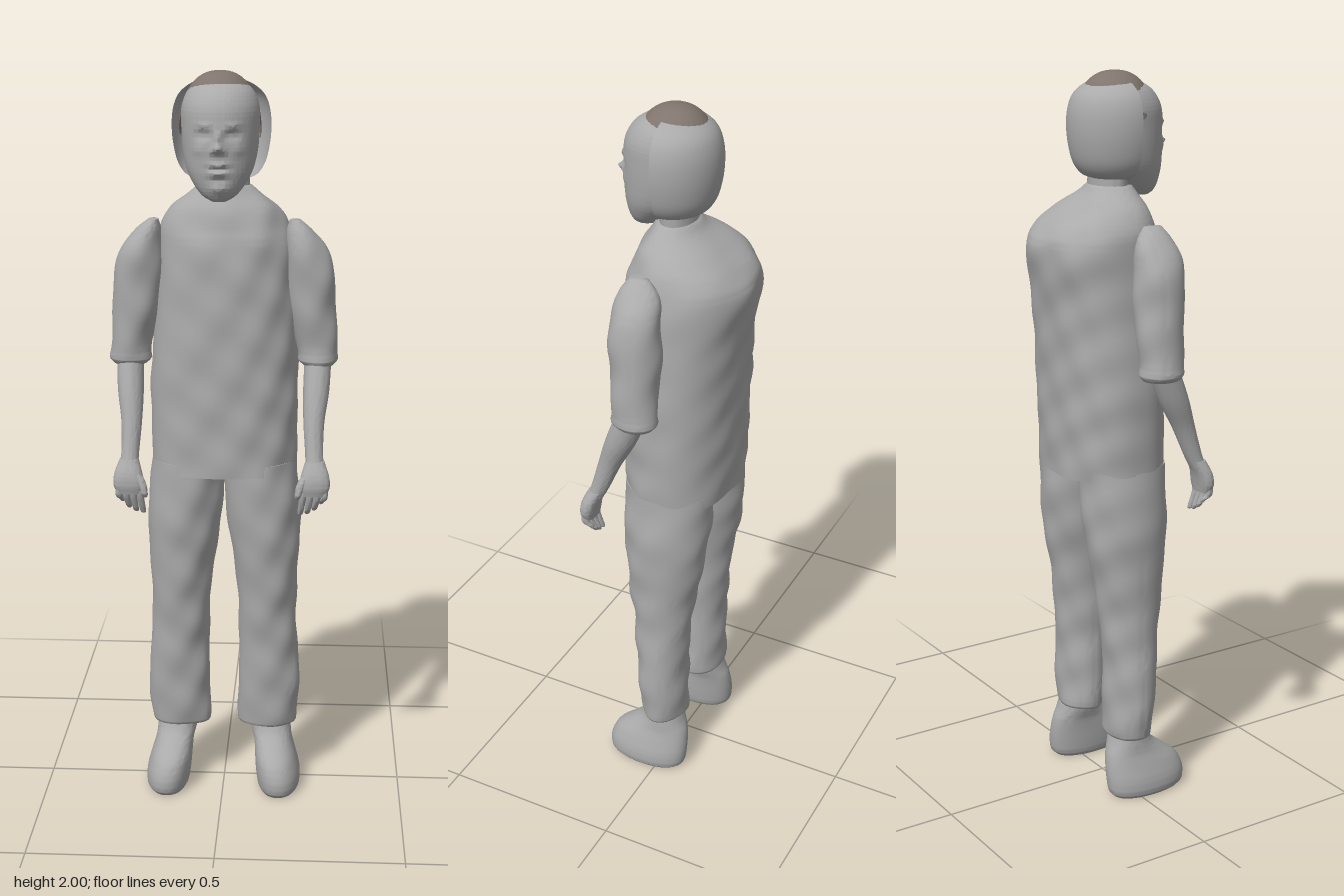
import * as THREE from 'three';
import { toCreasedNormals } from 'three/addons/utils/BufferGeometryUtils.js';

// Smooth loft through horizontal ellipses [y, cx, cz, rx, rz], listed upwards.
// power > 2 squares the section off; rule(v) may move each vertex.
function loft(sections, { sides = 32, steps = 6, power = 2, rule } = {}) {
  const n = sections.length;
  const spline = new THREE.CubicInterpolant(sections.map((_, i) => i), sections.flat(), 5, new Float32Array(5));
  const rows = (n - 1) * steps;
  const pos = [], index = [];
  const v = new THREE.Vector3();
  const bend = (t) => Math.sign(t) * Math.pow(Math.abs(t), 2 / power);
  for (let r = 0; r <= rows; r++) {
    const [y, cx, cz, rx, rz] = spline.evaluate(r / steps);
    for (let i = 0; i < sides; i++) {
      const a = (i / sides) * Math.PI * 2;
      v.set(cx + rx * bend(Math.sin(a)), y, cz + rz * bend(Math.cos(a)));
      if (rule) rule(v, a);
      pos.push(v.x, v.y, v.z);
    }
  }
  const at = (r, i) => r * sides + (i % sides);
  const bottom = pos.length / 3, top = bottom + 1;
  for (const s of [sections[0], sections[n - 1]]) pos.push(s[1], s[0], s[2]);
  for (let i = 0; i < sides; i++) {
    for (let r = 0; r < rows; r++) {
      index.push(at(r, i), at(r, i + 1), at(r + 1, i + 1), at(r, i), at(r + 1, i + 1), at(r + 1, i));
    }
    index.push(at(0, i + 1), at(0, i), bottom, at(rows, i), at(rows, i + 1), top);
  }
  const g = new THREE.BufferGeometry();
  g.setAttribute('position', new THREE.Float32BufferAttribute(pos, 3));
  g.setIndex(index);
  return toCreasedNormals(g, 1);
}

// Soft cloth wrinkles
function wrinkle(v) {
  const w = 0.002 * (Math.sin(v.y * 47 + v.x * 31) + Math.sin(v.y * 29 - v.x * 43 + v.z * 37));
  v.x += w * 0.6;
  v.z += w;
}

// Face features: [x, y, width, height, depth], mirrored in x
const FACE = [
  [0, 1.835, 0.010, 0.020, 0.012], // nose bridge
  [0, 1.810, 0.012, 0.011, 0.027], // nose tip
  [0.015, 1.803, 0.007, 0.007, 0.008], // nostrils
  [0.038, 1.843, 0.018, 0.011, -0.014], // eye sockets
  [0.038, 1.843, 0.009, 0.006, 0.007], // eyes
  [0.038, 1.866, 0.022, 0.006, 0.006], // brows
  [0.052, 1.805, 0.018, 0.014, 0.005], // cheeks
  [0, 1.768, 0.022, 0.005, 0.007], // upper lip
  [0, 1.757, 0.028, 0.003, -0.007], // mouth line
  [0, 1.746, 0.020, 0.005, 0.007], // lower lip
  [0, 1.728, 0.025, 0.006, -0.005], // chin crease
  [0, 1.706, 0.022, 0.010, 0.006], // chin
];
const FACE_X = -0.008;
function sculptFace(v, a) {
  if (Math.cos(a) <= 0) return;
  const x = Math.abs(v.x - FACE_X);
  let dz = 0;
  for (const [fx, fy, w, h, d] of FACE) {
    dz += d * Math.exp(-(((x - fx) / w) ** 2) - ((v.y - fy) / h) ** 2);
  }
  v.z += dz * Math.cos(a);
}

// Hair cap: a dome whose lower edge drops from the hairline to the temples
function hairGeometry() {
  const cols = 96, rows = 20, pos = [], index = [];
  for (let r = 0; r <= rows; r++) {
    for (let c = 0; c < cols; c++) {
      const a = (c / cols) * Math.PI * 2;
      const front = Math.max(0, Math.cos(a));
      const ragged = 0.05 * Math.sin(c * 2.4) * (r / rows) ** 3;
      const t = (r / rows) * (1.72 - 0.86 * Math.pow(front, 0.7) + ragged);
      const ridge = 1 + 0.008 * Math.sin(c * 1.9) * Math.sin(t);
      const s = Math.pow(Math.sin(t), 0.85) * ridge;
      pos.push(-0.01 + 0.107 * s * Math.sin(a), 1.855 + 0.145 * Math.cos(t), 0.03 + 0.112 * s * Math.cos(a));
      if (r < rows) {
        const p = r * cols + c, q = r * cols + ((c + 1) % cols);
        index.push(p, p + cols, q + cols, p, q + cols, q);
      }
    }
  }
  const g = new THREE.BufferGeometry();
  g.setAttribute('position', new THREE.Float32BufferAttribute(pos, 3));
  g.setIndex(index);
  g.computeVertexNormals();
  return g;
}

export function createModel() {
  const model = new THREE.Group();
  model.name = 'standingFigure';
  const grey = new THREE.MeshStandardMaterial({ color: 0xaaaaaa, side: THREE.DoubleSide });
  grey.name = 'plain grey';
  const brown = new THREE.MeshStandardMaterial({ color: 0x80756e, side: THREE.DoubleSide });
  brown.name = 'hair brown';
  const add = (name, geometry, material = grey, parent = model) => {
    const mesh = new THREE.Mesh(geometry, material);
    mesh.name = name;
    parent.add(mesh);
    return mesh;
  };

  // Shirt body
  add('shirt', loft([
    [0.93, 0, -0.005, 0.198, 0.145], [1.06, 0, -0.008, 0.2, 0.148], [1.2, 0, -0.010, 0.2, 0.151],
    [1.4, 0.005, -0.017, 0.19, 0.158], [1.54, 0.004, -0.030, 0.182, 0.166], [1.6, 0, -0.025, 0.172, 0.145],
    [1.645, 0, -0.004, 0.143, 0.110], [1.68, 0, 0.014, 0.1, 0.070], [1.705, 0, 0.02, 0.072, 0.05],
  ], { sides: 64, steps: 8, power: 2.3, rule: wrinkle }));

  // Neck, face and the rounded back of the head
  add('neck', loft([[1.64, 0, 0.015, 0.07, 0.05], [1.7, 0, 0.015, 0.068, 0.046], [1.8, 0, 0.02, 0.07, 0.05]]));
  add('face', loft([
    [1.672, FACE_X, 0.118, 0.018, 0.018], [1.685, FACE_X, 0.108, 0.042, 0.040], [1.71, FACE_X, 0.095, 0.064, 0.062],
    [1.75, FACE_X, 0.072, 0.086, 0.092], [1.8, FACE_X, 0.052, 0.098, 0.114], [1.86, FACE_X, 0.045, 0.102, 0.122],
    [1.91, FACE_X, 0.042, 0.101, 0.118], [1.95, FACE_X, 0.036, 0.085, 0.098], [1.975, FACE_X, 0.03, 0.055, 0.06],
    [1.99, FACE_X, 0.03, 0.012, 0.012],
  ], { sides: 128, steps: 12, rule: sculptFace }));
  const backProfile = [[0.055, 1.72], [0.09, 1.732], [0.112, 1.76], [0.124, 1.8], [0.13, 1.85], [0.127, 1.9],
    [0.112, 1.94], [0.08, 1.967], [0.04, 1.98], [0, 1.983]].map(([x, y]) => new THREE.Vector2(x, y));
  const back = add('backOfHead', new THREE.LatheGeometry(
    new THREE.SplineCurve(backProfile).getPoints(40), 32, Math.PI / 2, Math.PI));
  back.position.set(-0.006, 0, 0.037);
  add('hair', hairGeometry(), brown);

  for (const s of [1, -1]) {
    const side = s > 0 ? 'left' : 'right';
    const mirrored = (sections) => sections.map(([y, x, ...rest]) => [y, s * x, ...rest]);
    const part = (name, sections, options) => add(side + name, loft(mirrored(sections), options));

    // Short sleeve with a turned cuff
    part('Sleeve', [
      [1.225, 0.255, 0.017, 0.044, 0.052], [1.24, 0.254, 0.017, 0.056, 0.062], [1.27, 0.252, 0.018, 0.054, 0.060],
      [1.38, 0.236, 0.021, 0.064, 0.066], [1.48, 0.229, 0.024, 0.064, 0.068], [1.54, 0.219, 0.026, 0.056, 0.064],
      [1.585, 0.202, 0.028, 0.036, 0.048], [1.615, 0.188, 0.03, 0.014, 0.026],
    ], { rule: wrinkle });

    // Bare forearm, palm, fingers and thumb
    part('Forearm', [
      [0.96, 0.25, 0.146, 0.026, 0.022], [1.0, 0.247, 0.128, 0.024, 0.025], [1.08, 0.245, 0.098, 0.028, 0.032],
      [1.16, 0.25, 0.062, 0.035, 0.042], [1.25, 0.254, 0.024, 0.036, 0.044],
    ]);
    part('Palm', [
      [0.895, 0.246, 0.160, 0.034, 0.016], [0.92, 0.248, 0.160, 0.042, 0.021], [0.95, 0.25, 0.154, 0.037, 0.023],
      [0.985, 0.249, 0.138, 0.025, 0.023],
    ], { power: 2.4 });
    [[0.275, 0.868], [0.256, 0.85], [0.237, 0.84], [0.218, 0.836]].forEach(([x, tip], i) => {
      part('Finger' + (i + 1), [
        [tip, x - 0.008, 0.146, 0.004, 0.004], [tip + 0.008, x - 0.006, 0.149, 0.008, 0.008],
        [0.89, x, 0.162, 0.0095, 0.011], [0.925, x, 0.162, 0.009, 0.010],
      ], { sides: 12 });
    });
    part('Thumb', [
      [0.888, 0.203, 0.176, 0.004, 0.004], [0.897, 0.205, 0.176, 0.009, 0.010], [0.925, 0.212, 0.17, 0.011, 0.012],
      [0.955, 0.23, 0.156, 0.012, 0.014],
    ], { sides: 12 });

    // Trouser leg
    part('TrouserLeg', [
      [0.175, 0.122, 0, 0.079, 0.058], [0.19, 0.123, 0, 0.083, 0.062], [0.28, 0.127, 0.004, 0.087, 0.068],
      [0.4, 0.126, 0.008, 0.083, 0.073], [0.5, 0.121, 0.008, 0.081, 0.083], [0.6, 0.12, 0.008, 0.084, 0.095],
      [0.72, 0.114, 0.003, 0.096, 0.112], [0.82, 0.108, 0, 0.104, 0.122], [0.96, 0.098, -0.004, 0.1, 0.126],
    ], { sides: 48, rule: wrinkle });

    // Shoe with a long rounded toe
    part('Shoe', [
      [0, 0.157, 0.045, 0.052, 0.106], [0.015, 0.158, 0.044, 0.06, 0.118], [0.05, 0.155, 0.042, 0.062, 0.121],
      [0.09, 0.148, 0.033, 0.058, 0.112], [0.125, 0.141, 0.014, 0.054, 0.088], [0.155, 0.135, 0.002, 0.056, 0.064],
      [0.2, 0.128, -0.002, 0.058, 0.046],
    ], { sides: 40, power: 2.2 });
  }
  return model;
}
